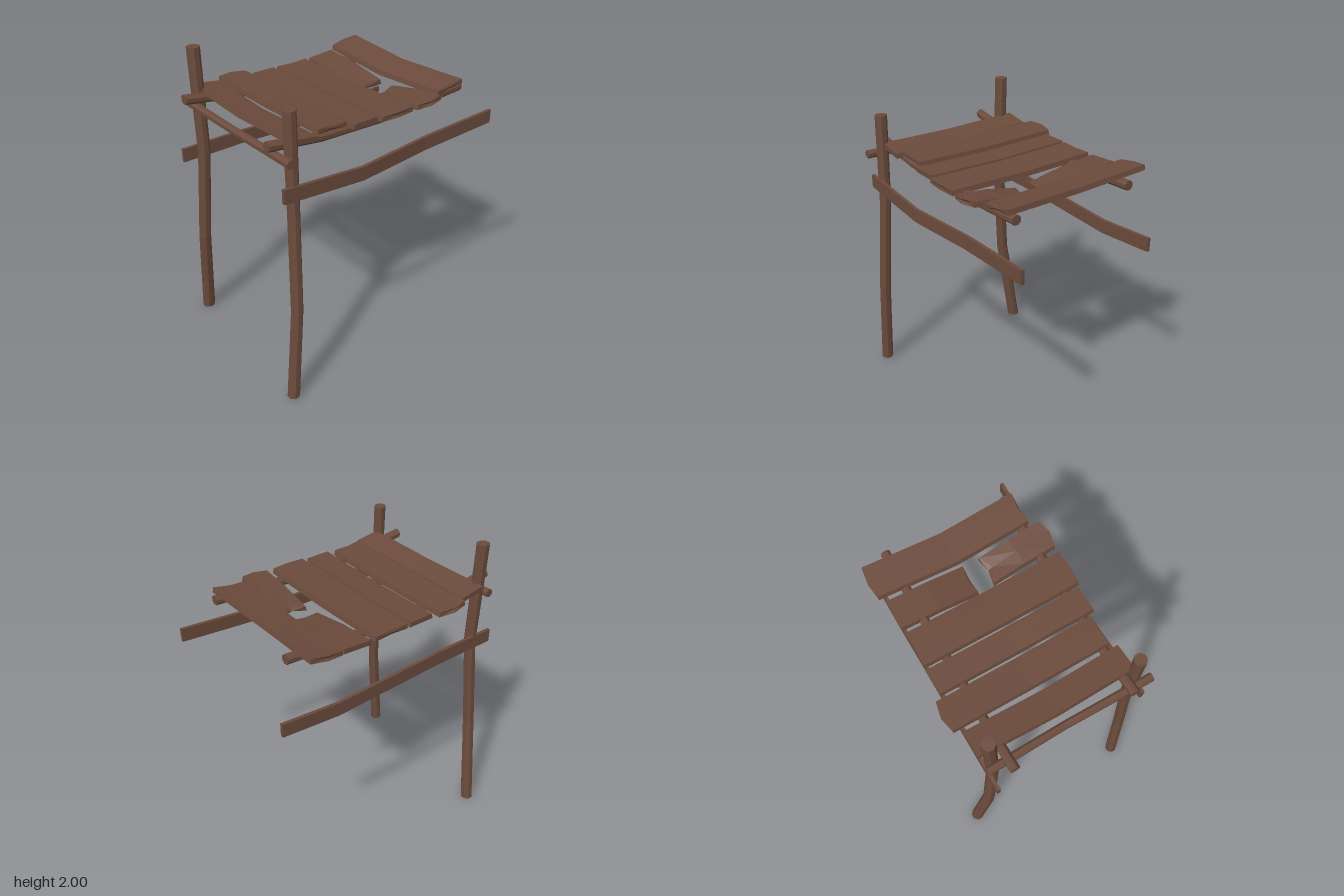
import * as THREE from 'three';

const wood = new THREE.MeshStandardMaterial({ color: 0x6b4b3c, flatShading: true });
wood.name = 'weathered wood';

const v = (x, y, z) => new THREE.Vector3(x, y, z);

// Closed solid through a list of equal-length point rings, capped at both ends
function loft(name, rings) {
  const tris = [];
  const n = rings[0].length;
  for (let i = 0; i < rings.length - 1; i++) {
    for (let j = 0; j < n; j++) {
      const k = (j + 1) % n;
      const a = rings[i][j], b = rings[i][k], c = rings[i + 1][k], d = rings[i + 1][j];
      tris.push([a, b, c], [a, c, d]);
    }
  }
  const cap = (ring, flip) => {
    const mid = ring.reduce((s, p) => s.add(p), v(0, 0, 0)).divideScalar(n);
    ring.forEach((p, j) => {
      const q = ring[(j + 1) % n];
      tris.push(flip ? [mid, q, p] : [mid, p, q]);
    });
  };
  cap(rings[0], true);
  cap(rings[rings.length - 1], false);
  // turn the faces outward whichever way the rings run
  const o = rings[0][0];
  const volume = tris.reduce((s, [a, b, c]) =>
    s + a.clone().sub(o).dot(b.clone().sub(o).cross(c.clone().sub(o))), 0);
  const pts = tris.flatMap(([a, b, c]) => (volume < 0 ? [a, c, b] : [a, b, c]));
  const geo = new THREE.BufferGeometry().setFromPoints(pts);
  geo.computeVertexNormals();
  const mesh = new THREE.Mesh(geo, wood);
  mesh.name = name;
  return mesh;
}

// Crooked eight-sided pole through a few points, its rings square to the main axis
function pole(name, axis, radius, ...path) {
  const across = { x: [v(0, 1, 0), v(0, 0, 1)], y: [v(1, 0, 0), v(0, 0, 1)], z: [v(1, 0, 0), v(0, 1, 0)] };
  const [u, w] = across[axis];
  return loft(name, path.map((p, i) => {
    // slightly thicker at the ends
    const r = i === 0 || i === path.length - 1 ? radius * 1.06 : radius;
    return Array.from({ length: 8 }, (_, j) => {
      const a = ((j + 0.5) / 8) * Math.PI * 2;
      return p.clone().addScaledVector(u, Math.cos(a) * r).addScaledVector(w, Math.sin(a) * r);
    });
  }));
}

// Bent board on edge, through points on its centre line
function sideBoard(name, ...path) {
  const t = 0.011, h = 0.045;
  return loft(name, path.map(({ x, y, z }) =>
    [v(x - t, y - h, z), v(x + t, y - h, z), v(x + t, y + h, z), v(x - t, y + h, z)]));
}

// Sagging plank: spans in x and z, end heights, rise towards the back, and
// how far the middle of each end juts out
function plank(name, [x0, x1], [z0, z1], [y0, y1], { rise = 0, sag = 0.01, bow = 0, jut = [0, 0] }) {
  const t = 0.032, bevel = 0.008;
  return loft(name, [0, 0.5, 1].map((s) => {
    const mid = s === 0.5 ? 1 : 0;
    const x = THREE.MathUtils.lerp(x0, x1, s);
    const y = THREE.MathUtils.lerp(y0, y1, s) - mid * sag;
    const xm = x + (mid ? 0 : s ? jut[1] : -jut[0]);
    const zb = z0 + mid * bow, zf = z1 + mid * bow, zm = (zb + zf) / 2;
    const yb = y + rise / 2, yf = y - rise / 2;
    return [v(x, yb, zb + bevel), v(xm, y, zm), v(x, yf, zf - bevel),
      v(x, yf - t, zf), v(xm, y - t, zm), v(x, yb - t, zb)];
  }));
}

export function createModel() {
  const model = new THREE.Group();
  model.name = 'ricketyPlatform';

  // Posts
  model.add(
    pole('rightPost', 'y', 0.04, v(-0.57, 0, 0.715), v(-0.48, 0.65, 0.742),
      v(-0.435, 1.3, 0.715), v(-0.458, 2, 0.715)),
    pole('leftPost', 'y', 0.038, v(0.572, 0.01, 0.788), v(0.565, 0.65, 0.738),
      v(0.522, 1.3, 0.712), v(0.505, 1.92, 0.71)));

  // Rails under the deck and the front cross pole
  model.add(
    pole('rightRail', 'z', 0.03, v(-0.37, 1.72, 0.855), v(-0.37, 1.665, 0.5),
      v(-0.37, 1.645, 0), v(-0.37, 1.685, -0.69)),
    pole('leftRail', 'z', 0.03, v(0.44, 1.71, 0.82), v(0.44, 1.66, 0.45),
      v(0.44, 1.645, 0), v(0.44, 1.68, -0.66)),
    pole('crossPole', 'x', 0.026, v(-0.5, 1.655, 0.775), v(0.02, 1.637, 0.762), v(0.595, 1.65, 0.772)));

  // Bent boards along the sides
  model.add(
    sideBoard('rightSideBoard', v(-0.468, 1.305, 0.85), v(-0.468, 1.305, 0.4),
      v(-0.468, 1.272, -0.4), v(-0.468, 1.305, -0.8)),
    sideBoard('leftSideBoard', v(0.552, 1.445, 0.8), v(0.552, 1.398, 0.23),
      v(0.53, 1.422, -0.3), v(0.55, 1.452, -0.86)));

  // Deck planks, back to front, the second one snapped in two
  const deck = new THREE.Group();
  deck.name = 'deck';
  deck.add(
    plank('backPlank', [-0.545, 0.485], [-0.645, -0.425], [1.745, 1.73],
      { rise: 0.03, sag: 0.02, bow: 0.02, jut: [0.015, -0.015] }),
    plank('brokenPlankRight', [-0.518, 0], [-0.4, -0.195], [1.703, 1.643],
      { rise: 0.015, sag: -0.012, jut: [0, -0.015] }),
    plank('brokenPlankLeft', [0.11, 0.54], [-0.402, -0.203], [1.637, 1.71],
      { rise: 0.015, sag: -0.01, jut: [-0.05, 0.02] }),
    plank('widePlank', [-0.515, 0.535], [-0.17, 0.077], [1.7, 1.703], { jut: [-0.01, 0.01] }),
    plank('narrowPlank', [-0.518, 0.515], [0.09, 0.27], [1.7, 1.705], {}),
    plank('longPlank', [-0.557, 0.475], [0.288, 0.5], [1.72, 1.725],
      { rise: -0.01, jut: [0.023, -0.01] }),
    plank('frontPlank', [-0.515, 0.513], [0.516, 0.7], [1.728, 1.725],
      { rise: -0.025, sag: 0.015, bow: 0.01 }));
  model.add(deck);

  return model;
}
